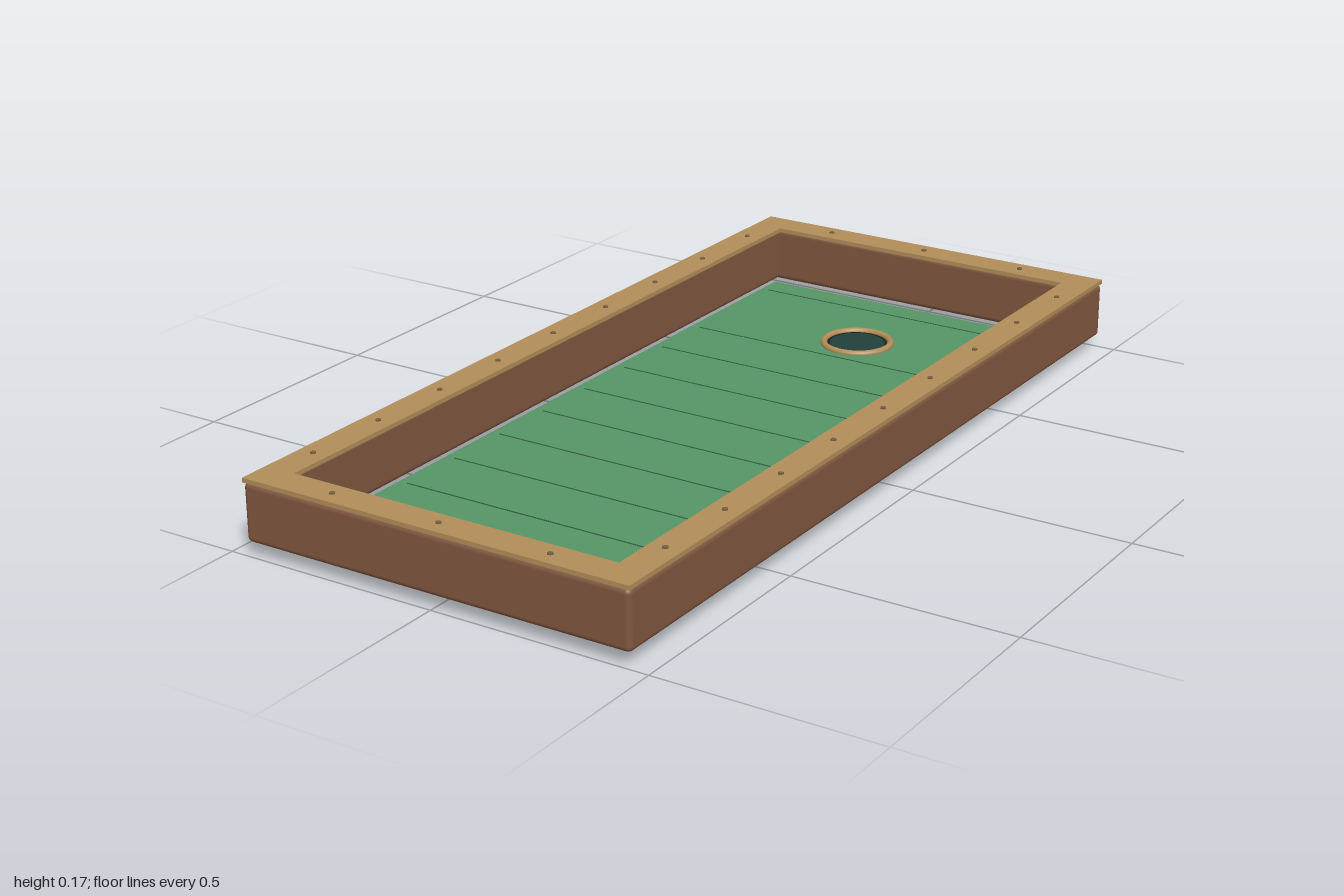
import * as THREE from 'three';
import { RoundedBoxGeometry } from 'three/addons/geometries/RoundedBoxGeometry.js';

export function createModel() {
  const model = new THREE.Group();
  model.name = 'puttingTray';

  const material = (name, color) => {
    const m = new THREE.MeshStandardMaterial({ color });
    m.name = name;
    return m;
  };
  const felt = material('green felt', 0x559565);
  const wood = material('brown wood', 0x80563f);
  const trim = material('light wood trim', 0xb28d59);
  const brass = material('dark brass', 0x75603f);
  const seam = material('dark green seam', 0x2f5a40);
  const cupDark = material('cup lining', 0x18231f);
  const cupFloor = material('cup floor', 0x22403a);

  const add = (name, geometry, mat, x, y, z) => {
    const mesh = new THREE.Mesh(geometry, mat);
    mesh.name = name;
    mesh.position.set(x, y, z);
    model.add(mesh);
    return mesh;
  };

  const floorY = 0.03;

  // Playing bed
  add('bed', new RoundedBoxGeometry(0.804, floorY, 1.85, 3, 0.009), felt, 0, floorY / 2, 0);

  // Rounded rails around the bed, leaving a narrow slot at both ends
  const sideRail = new RoundedBoxGeometry(0.06, 0.13, 2, 3, 0.012);
  const endRail = new RoundedBoxGeometry(0.92, 0.13, 0.06, 3, 0.012);
  for (const s of [-1, 1]) {
    add('sideRail', sideRail, wood, s * 0.43, 0.095, 0);
    add('endRail', endRail, wood, 0, 0.095, s * 0.97);
  }

  // Flat cap frame on the rails
  const rect = (target, x, z) => target.moveTo(-x, -z).lineTo(x, -z).lineTo(x, z).lineTo(-x, z).closePath();
  const frame = rect(new THREE.Shape(), 0.46, 1);
  frame.holes.push(rect(new THREE.Path(), 0.388, 0.928));
  const cap = new THREE.ExtrudeGeometry(frame, { depth: 0.01, bevelEnabled: false });
  cap.rotateX(-Math.PI / 2);
  add('capFrame', cap, trim, 0, 0.159, 0);

  // Nail heads along the cap
  const nail = new THREE.CylinderGeometry(0.006, 0.006, 0.004, 12);
  for (const s of [-1, 1]) {
    for (let i = -4; i <= 4; i++) add('nail', nail, brass, s * 0.424, 0.17, i * 0.207);
    for (let i = -1; i <= 1; i++) add('nail', nail, brass, i * 0.26, 0.17, s * 0.965);
  }

  // Thin seams across the felt
  const seamStrip = new THREE.BoxGeometry(0.75, 0.001, 0.004);
  for (let i = -3; i <= 7; i++) {
    const z = -0.37 + i * 0.161;
    if (Math.abs(z + 0.64) > 0.085) add('seam', seamStrip, seam, 0, floorY, z);
  }

  // Cup with its raised rim
  const cupZ = -0.64;
  const lining = new THREE.RingGeometry(0.065, 0.08, 48).rotateX(-Math.PI / 2);
  const disc = new THREE.CircleGeometry(0.065, 48).rotateX(-Math.PI / 2);
  const rim = new THREE.TorusGeometry(0.079, 0.008, 12, 48).rotateX(Math.PI / 2);
  add('cupLining', lining, cupDark, 0, floorY + 0.0015, cupZ);
  add('cupFloor', disc, cupFloor, 0, floorY + 0.0015, cupZ);
  add('cupRim', rim, trim, 0, floorY + 0.002, cupZ);

  return model;
}
